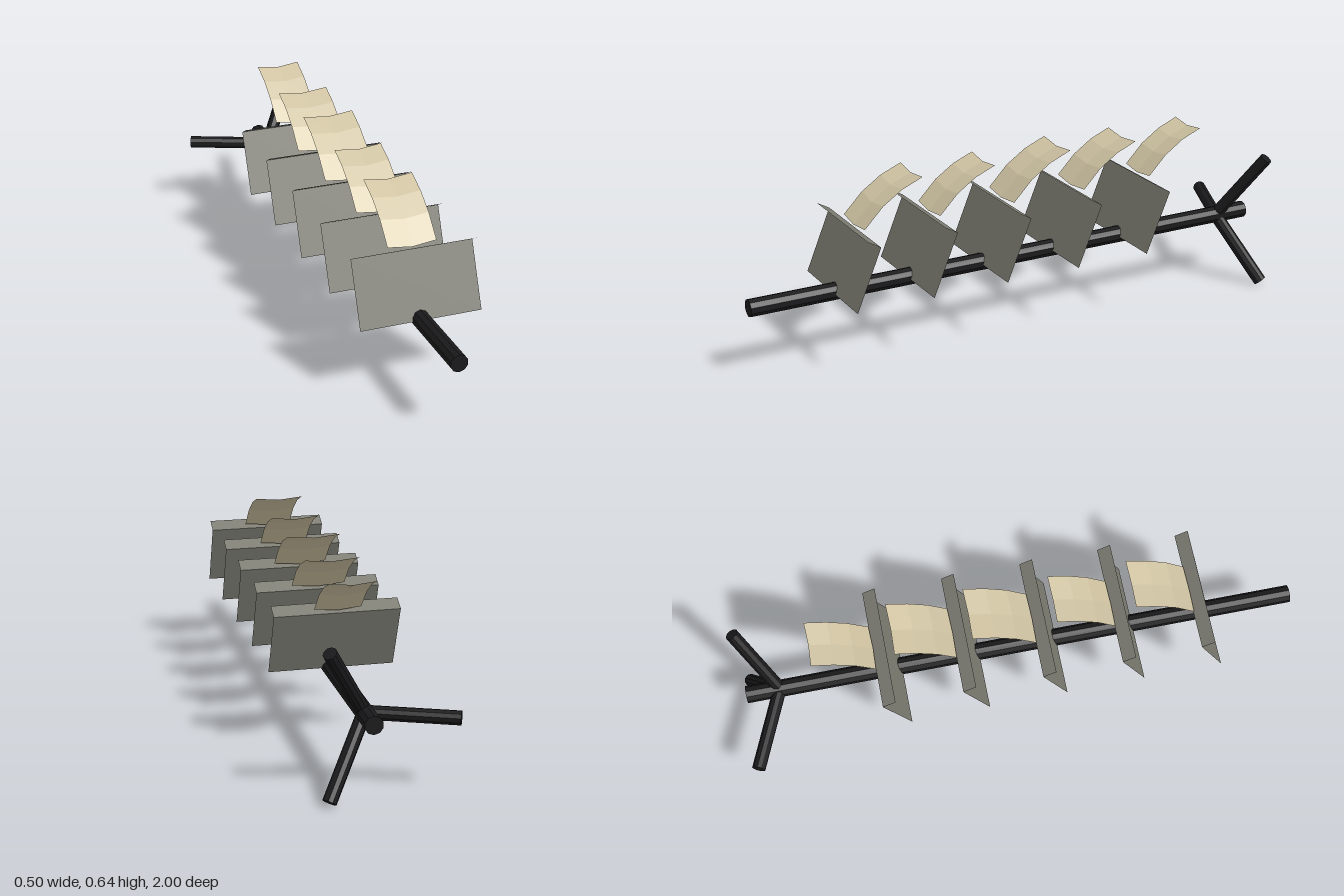
import * as THREE from 'three';

const CX = 0.037, POLE_Y = 0.262;
const mat = (color) => new THREE.MeshStandardMaterial({ color, flatShading: true, side: THREE.DoubleSide });
const black = mat(0x1a1a1c), grey = mat(0x7b7b71), tan = mat(0xcfc3a2);

// Open sheet from rows of points (each row the same length)
function sheet(rows) {
  const cols = rows[0].length, index = [];
  for (let r = 0; r < rows.length - 1; r++) {
    for (let c = 0; c < cols - 1; c++) {
      const a = r * cols + c, b = a + cols;
      index.push(a, a + 1, b, a + 1, b + 1, b);
    }
  }
  const geo = new THREE.BufferGeometry();
  geo.setAttribute('position', new THREE.Float32BufferAttribute(rows.flat(2), 3));
  geo.setIndex(index);
  const flat = geo.toNonIndexed();
  flat.computeVertexNormals();
  return flat;
}

// Cylinder between two points
function rod(name, from, to, radius) {
  const dir = to.clone().sub(from);
  const mesh = new THREE.Mesh(new THREE.CylinderGeometry(radius, radius, dir.length(), 10), black);
  mesh.position.copy(from).addScaledVector(dir, 0.5);
  mesh.quaternion.setFromUnitVectors(new THREE.Vector3(0, 1, 0), dir.normalize());
  mesh.name = name;
  return mesh;
}

export function createModel() {
  const model = new THREE.Group();
  model.name = 'model';

  // Long central pole
  model.add(rod('pole', new THREE.Vector3(CX, POLE_Y, -0.98), new THREE.Vector3(CX, POLE_Y, 1), 0.031));

  // Three splayed struts at the back end
  for (let i = 0; i < 3; i++) {
    const a = Math.PI + (i * Math.PI * 2) / 3, r = 0.28;
    model.add(rod('tailStrut' + (i + 1), new THREE.Vector3(CX, POLE_Y, -0.86),
      new THREE.Vector3(CX + r * Math.cos(a), POLE_Y + r * Math.sin(a), -0.978), 0.0235));
  }

  // Leaning panel with a folded lip: [z, y] from the bottom edge to the lip
  const panelProfile = [[0.09, 0.26], [0, 0.478], [0.045, 0.503]];
  const panelGeo = sheet(panelProfile.map(([z, y]) => [-0.2135, 0.2135].map((x) => [x, y, z])));

  // Curved vane with a shallow valley along its middle: [z, y] from foot to tip
  const vaneProfile = [[0, 0], [-0.068, 0.07], [-0.139, 0.118], [-0.215, 0.15]];
  const halfWidths = [0.086, 0.085, 0.092, 0.092, 0.079];
  const lengths = [1, 0.97, 1.03, 0.97, 0.98];

  for (let i = 0; i < 5; i++) {
    const unit = new THREE.Group();
    unit.name = 'panelUnit' + (i + 1);
    unit.position.set(CX, 0, 0.61 - i * 0.28);

    const panel = new THREE.Mesh(panelGeo, grey);
    panel.name = 'panel';

    const w = halfWidths[i];
    const rows = vaneProfile.map(([z, y]) => [-1, 0, 1].map((s) =>
      [s * w, 0.496 + y * lengths[i] - (s ? 0 : 0.009), z * lengths[i] + (s ? 0 : 0.003)]));
    const vane = new THREE.Mesh(sheet(rows), tan);
    vane.name = 'vane';

    unit.add(panel, vane);
    model.add(unit);
  }
  return model;
}
